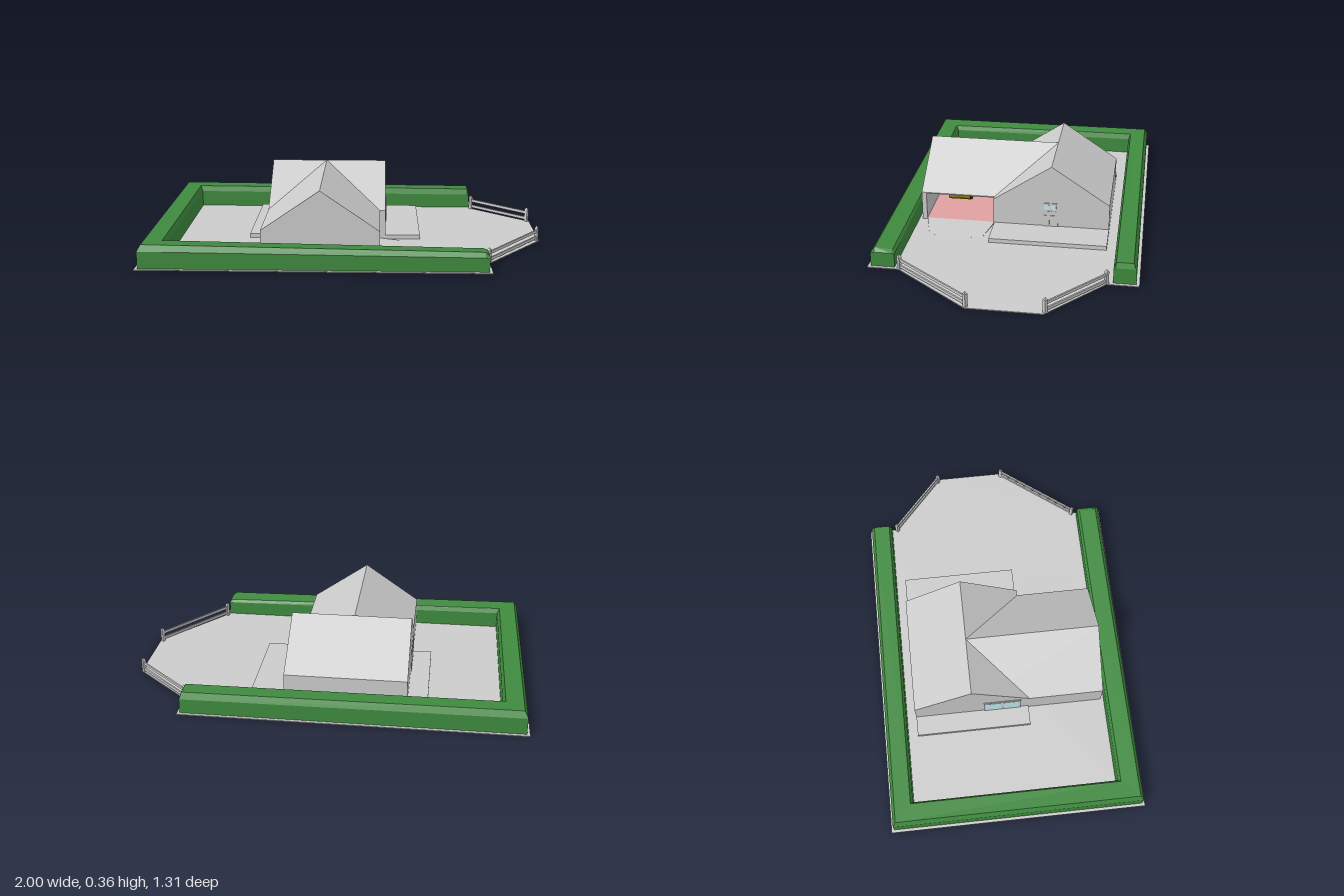
import * as THREE from 'three';

const mat = (color = 0xcccccc, extra = {}) => new THREE.MeshStandardMaterial({ color, flatShading: true, ...extra });
const GREY = mat();
const HEDGE = mat(0x3f8a3f, { side: THREE.DoubleSide });
const GLASS = mat(0xc4ecf0);
const CAR = mat(0x8a7a12);
const DARK = mat(0x4a420c);
const PINK = mat(0xe0a0a0);

function add(parent, name, geometry, material = GREY) {
  const mesh = new THREE.Mesh(geometry, material);
  mesh.name = name;
  parent.add(mesh);
  return mesh;
}

// Box given by its min and max on each axis
function block(parent, name, [x0, x1], [y0, y1], [z0, z1], material) {
  const mesh = add(parent, name, new THREE.BoxGeometry(x1 - x0, y1 - y0, z1 - z0), material);
  mesh.position.set((x0 + x1) / 2, (y0 + y1) / 2, (z0 + z1) / 2);
  return mesh;
}

const polygon = pts => new THREE.Shape(pts.map(p => new THREE.Vector2(...p)));
const extrude = (pts, depth) => new THREE.ExtrudeGeometry(polygon(pts), { depth, bevelEnabled: false });

// Outline in (z, y), extruded along x from x0 to x1
const extrudeX = (pts, x0, x1) =>
  extrude(pts.map(([z, y]) => [-z, y]), x1 - x0).rotateY(Math.PI / 2).translate(x0, 0, 0);

function createHedge() {
  // Each station: outer corner, inner corner, shoulder, outer top and inner top heights
  const stations = [
    [0.69, -0.64, 0.69, -0.53, 0.075, 0.085, 0.085],
    [0.68, -0.64, 0.68, -0.53, 0.08, 0.112, 0.112],
    [-0.985, -0.64, -0.87, -0.53, 0.09, 0.122, 0.12],
    [-0.985, 0.64, -0.87, 0.522, 0.09, 0.12, 0.115],
    [0.67, 0.64, 0.67, 0.522, 0.075, 0.098, 0.09],
    [0.69, 0.64, 0.69, 0.522, 0.07, 0.08, 0.08],
  ];
  const rings = stations.map(([ox, oz, ix, iz, shoulder, outer, inner]) => {
    const at = (t, y) => [ox + (ix - ox) * t, y, oz + (iz - oz) * t];
    return [at(0, 0.004), at(0, shoulder), at(0.15, outer), at(0.9, inner), at(1, shoulder), at(1, 0.004)];
  });
  const position = [];
  const tri = (a, b, c) => position.push(...a, ...b, ...c);
  for (let i = 0; i < rings.length - 1; i++) {
    for (let j = 0; j < 5; j++) {
      const [a, b, c, d] = [rings[i][j], rings[i][j + 1], rings[i + 1][j + 1], rings[i + 1][j]];
      tri(a, b, c);
      tri(a, c, d);
    }
  }
  for (let j = 1; j < 5; j++) {
    tri(rings[0][0], rings[0][j + 1], rings[0][j]);
    tri(rings[5][0], rings[5][j], rings[5][j + 1]);
  }
  const geometry = new THREE.BufferGeometry();
  geometry.setAttribute('position', new THREE.Float32BufferAttribute(position, 3));
  geometry.computeVertexNormals();
  return geometry;
}

// Two posts with pointed caps and two rails
function createFence(x0, z0, x1, z1) {
  const fence = new THREE.Group();
  fence.name = 'fence';
  const length = Math.hypot(x1 - x0, z1 - z0);
  fence.position.set(x0, 0, z0);
  fence.rotation.y = -Math.atan2(z1 - z0, x1 - x0);
  for (const x of [0, length]) {
    block(fence, 'fencePost', [x - 0.008, x + 0.008], [0.004, 0.072], [-0.008, 0.008]);
    add(fence, 'postCap', new THREE.ConeGeometry(0.011, 0.012, 4).rotateY(Math.PI / 4)).position.set(x, 0.078, 0);
  }
  for (const y of [0.014, 0.047]) block(fence, 'fenceRail', [0, length], [y, y + 0.015], [-0.004, 0.004]);
  return fence;
}

function createHouse() {
  const house = new THREE.Group();
  house.name = 'house';

  // Main block with its gables facing the sides
  add(house, 'mainBlock', extrudeX([[0.12, 0.004], [0.12, 0.16], [-0.18, 0.36], [-0.48, 0.16], [-0.48, 0.004]], -0.41, 0.2));

  // Garage wing roof, running into the main roof
  add(house, 'wingRoof', extrude([[-0.41, 0.16], [0.17, 0.16], [-0.12, 0.36]], 0.685)).position.z = -0.18;

  // Garage walls around the open doorway
  block(house, 'garageFrontWall', [-0.41, 0.17], [0.004, 0.16], [0.48, 0.505]);
  block(house, 'garageSideWall', [-0.41, -0.385], [0.004, 0.16], [0.12, 0.48]);
  block(house, 'garageLintel', [0.155, 0.17], [0.154, 0.16], [0.12, 0.48]);
  block(house, 'garageFloor', [-0.385, 0.168], [0.004, 0.01], [0.121, 0.48], PINK);
  block(house, 'garageInnerWall', [-0.385, 0.165], [0.01, 0.16], [0.12, 0.124], PINK);

  // Entrance door: frame, two panes and two raised panels
  block(house, 'doorFrame', [0.198, 0.204], [0.026, 0.157], [-0.216, -0.135]);
  for (const z of [-0.207, -0.172]) {
    block(house, 'doorPane', [0.2, 0.206], [0.122, 0.148], [z, z + 0.028], GLASS);
    block(house, 'doorPanelUpper', [0.2, 0.207], [0.098, 0.114], [z, z + 0.028]);
    block(house, 'doorPanelLower', [0.2, 0.207], [0.036, 0.089], [z, z + 0.028]);
  }

  // Glazed patio doors on the other gable
  block(house, 'patioDoorFrame', [-0.414, -0.408], [0.026, 0.158], [-0.12, 0.075]);
  for (const z of [-0.11, -0.018]) block(house, 'patioDoorPane', [-0.416, -0.41], [0.036, 0.148], [z, z + 0.083], GLASS);
  return house;
}

function createCar() {
  const car = new THREE.Group();
  car.name = 'car';
  block(car, 'carBody', [-0.34, -0.03], [0.035, 0.1], [0.288, 0.402], CAR);
  block(car, 'carGrille', [-0.03, -0.027], [0.075, 0.09], [0.3, 0.39], DARK);
  block(car, 'carBumper', [-0.04, -0.02], [0.045, 0.063], [0.286, 0.404], CAR);
  // Cabin narrows towards the roof
  const cabin = new THREE.CylinderGeometry(0.72, 1, 1, 4, 1).rotateY(Math.PI / 4).scale(0.13, 0.048, 0.076);
  add(car, 'carCabin', cabin, CAR).position.set(-0.22, 0.124, 0.345);
  const glass = new THREE.CylinderGeometry(0.76, 1, 1, 4, 1).rotateY(Math.PI / 4).scale(0.134, 0.042, 0.068);
  add(car, 'carWindows', glass, GLASS).position.set(-0.218, 0.122, 0.345);
  for (const x of [-0.28, -0.09]) {
    for (const z of [0.298, 0.392]) {
      add(car, 'carWheel', new THREE.CylinderGeometry(0.026, 0.026, 0.02, 12).rotateX(Math.PI / 2), DARK).position.set(x, 0.036, z);
    }
  }
  return car;
}

export function createModel() {
  const model = new THREE.Group();
  model.name = 'houseWithGarden';

  // Ground plate, with the yard tapering out to the road
  const outline = [[-1, 0.655], [0.705, 0.655], [0.705, 0.5], [1, 0.12], [1, -0.24], [0.705, -0.5], [0.705, -0.655], [-1, -0.655]];
  add(model, 'ground', extrude(outline.map(([x, z]) => [x, -z]), 0.005).rotateX(-Math.PI / 2));
  block(model, 'terrace', [-0.51, 0.38], [0.004, 0.027], [-0.48, 0.117]);

  // Shallow ramp up to the garage
  const ramp = add(model, 'garageRamp', extrude([[0.165, -0.48], [0.34, -0.43], [0.34, -0.16], [0.165, -0.12]], 0.007).rotateX(-Math.PI / 2));
  const p = ramp.geometry.attributes.position;
  for (let i = 0; i < p.count; i++) if (p.getX(i) > 0.3) p.setY(i, p.getY(i) * 0.15);
  ramp.geometry.computeVertexNormals();
  ramp.position.y = 0.004;

  add(model, 'hedge', createHedge(), HEDGE);
  model.add(createHouse(), createCar());
  model.add(createFence(0.7, -0.5, 0.985, -0.245), createFence(0.7, 0.495, 0.985, 0.118));

  // Barrel stored in the garage
  add(model, 'barrel', new THREE.CylinderGeometry(0.013, 0.013, 0.055, 12), CAR).position.set(-0.25, 0.038, 0.157);
  return model;
}
